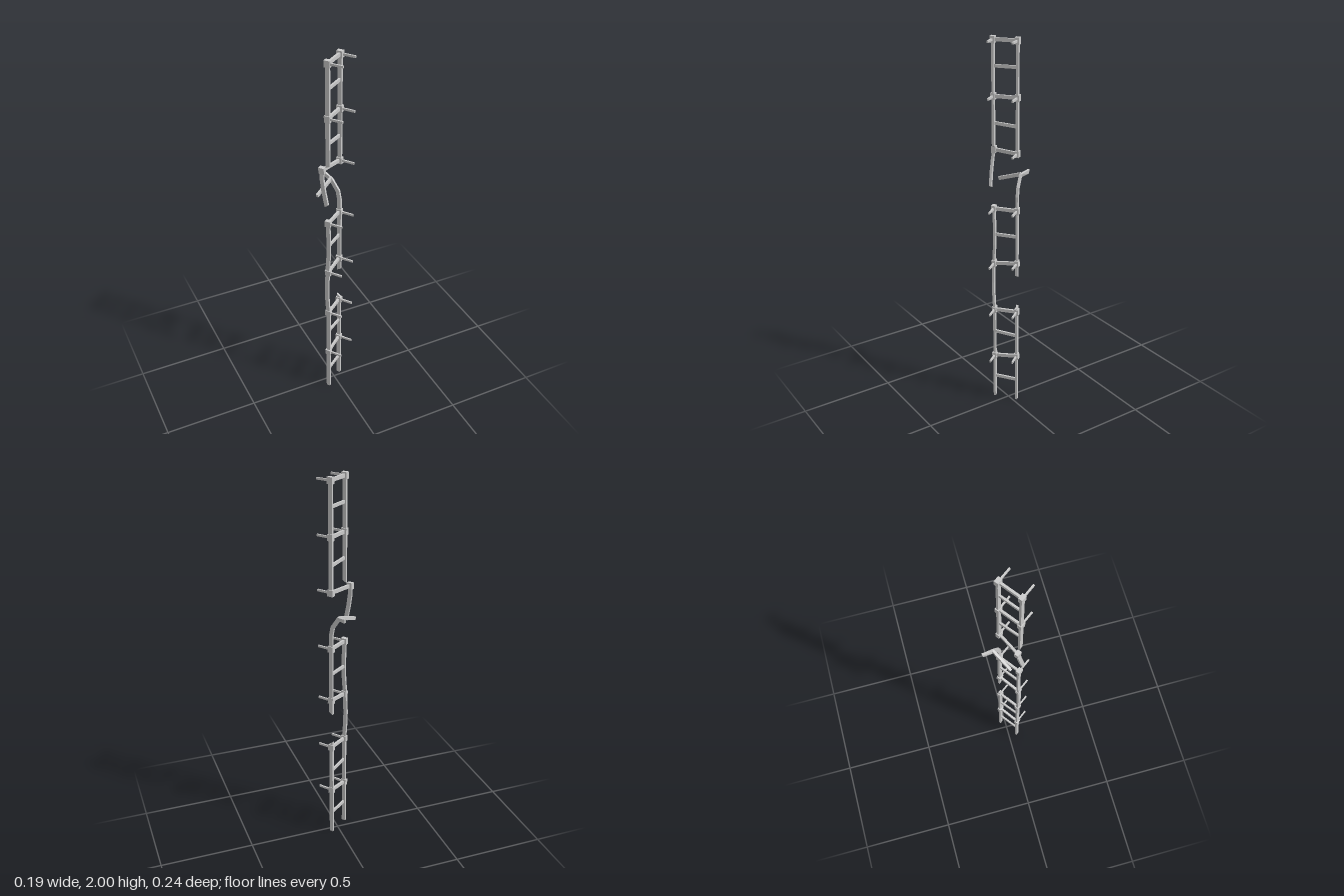
import * as THREE from 'three';

const V = (x, y, z) => new THREE.Vector3(x, y, z);
const X = V(1, 0, 0), Z = V(0, 0, 1);
const material = new THREE.MeshStandardMaterial({ color: 0xcccccc, flatShading: true });

// Rectangular beam swept along points; w runs along ref, d across it. Ends may be cut at a slant.
function beam(name, points, w, d, ref = X, slantStart = 0, slantEnd = 0) {
  const last = points.length - 1;
  const rings = points.map((p, i) => {
    const t = points[Math.min(i + 1, last)].clone().sub(points[Math.max(i - 1, 0)]).normalize();
    const side = ref.clone().addScaledVector(t, -ref.dot(t)).normalize();
    const front = side.clone().cross(t);
    const slant = i === 0 ? slantStart : i === last ? slantEnd : 0;
    return [[1, 1], [1, -1], [-1, -1], [-1, 1]].map(([a, b]) => p.clone()
      .addScaledVector(side, a * w / 2)
      .addScaledVector(front, b * d / 2)
      .addScaledVector(t, b * slant));
  });
  const out = [];
  const quad = (a, b, c, e) => [a, b, c, a, c, e].forEach(v => out.push(v.x, v.y, v.z));
  for (let i = 0; i < last; i++) {
    for (let k = 0; k < 4; k++) {
      const j = (k + 1) % 4;
      quad(rings[i][k], rings[i][j], rings[i + 1][j], rings[i + 1][k]);
    }
  }
  quad(...rings[last]);
  quad(...rings[0].slice().reverse());
  const geometry = new THREE.BufferGeometry();
  geometry.setAttribute('position', new THREE.Float32BufferAttribute(out, 3));
  geometry.computeVertexNormals();
  const mesh = new THREE.Mesh(geometry, material);
  mesh.name = name;
  return mesh;
}

export function createModel() {
  const model = new THREE.Group();
  model.name = 'brokenLadder';
  const ladder = new THREE.Group();
  ladder.name = 'ladder';
  ladder.position.set(-0.007, 0, 0.0125);
  ladder.rotation.y = 0.6435;
  model.add(ladder);

  const R = 0.0625, railW = 0.012, railD = 0.021;
  const rail = (name, points, s0 = 0, s1 = 0) =>
    ladder.add(beam(name, points, railW, railD, X, s0, s1));

  // Left-hand rail: buckled lower run, loose fragment, straight upper run
  rail('lowerRailA', [V(-R, 0, 0), V(-R, 0.54, 0), V(-0.068, 0.63, -0.003), V(-0.07, 0.7, -0.004),
    V(-0.066, 0.82, -0.002), V(-0.06, 0.92, 0.001), V(-0.059, 1.02, 0.001), V(-0.064, 1.13, 0)]);
  rail('looseRailA', [V(-0.07, 1.44, -0.03), V(-0.077, 1.38, -0.024),
    V(-0.08, 1.32, -0.014), V(-0.08, 1.24, 0.002)], 0, 0.004);
  rail('upperRailA', [V(-R, 1.452, 0), V(-R, 1.995, 0)], 0.006);

  // Other rail: snapped in three places, with a bent stub
  rail('lowerRailB', [V(R, 0, 0), V(R, 0.573, 0)], 0, -0.009);
  rail('middleRailB', [V(R, 0.755, 0), V(R, 1.12, 0), V(R, 1.2, -0.001), V(0.063, 1.245, -0.01),
    V(0.064, 1.3, -0.047), V(0.089, 1.308, -0.099)], 0.007, 0.004);
  rail('upperRailB', [V(R, 1.42, 0), V(R, 1.995, 0)]);

  // Plain rungs: height at each end
  for (const [a, b] of [[0.127, 0.124], [0.408, 0.398], [0.98, 0.98], [1.575, 1.565], [1.857, 1.857]]) {
    ladder.add(beam('rung', [V(-R, a, 0), V(R, b, 0)], 0.01, 0.016, Z));
  }
  ladder.add(beam('brokenRung', [V(-0.058, 1.266, -0.064), V(0.066, 1.306, -0.049)], 0.013, 0.018, Z));

  // Bracket block around a rail, optionally with a projecting peg
  const bracket = (p, tilt, peg = true) => {
    const block = new THREE.Mesh(new THREE.BoxGeometry(0.022, 0.034, 0.03), material);
    block.name = 'bracket';
    block.position.copy(p);
    block.rotation.z = tilt;
    ladder.add(block);
    if (peg) {
      ladder.add(beam('peg', [p.clone(), p.clone().add(V(0, 0, 0.079))], 0.008, 0.011, X));
    }
  };

  // Bracketed rungs
  for (const [a, b] of [[0.258, 0.273], [0.541, 0.545], [0.815, 0.829], [1.123, 1.123],
    [1.709, 1.709], [1.983, 1.983]]) {
    const tilt = (b - a) / (2 * R);
    ladder.add(beam('bracketRung', [V(-R, a, 0), V(R, b, 0)], 0.012, 0.018, Z));
    bracket(V(-R, a, 0), tilt);
    bracket(V(R, b, 0), tilt);
  }

  // Displaced bracketed rung at the upper break
  const from = V(-0.07, 1.43, -0.028), to = V(R, 1.427, 0);
  ladder.add(beam('displacedRung', [from, to], 0.012, 0.018, Z));
  bracket(from, 0.05, false);
  bracket(to, 0);

  return model;
}
